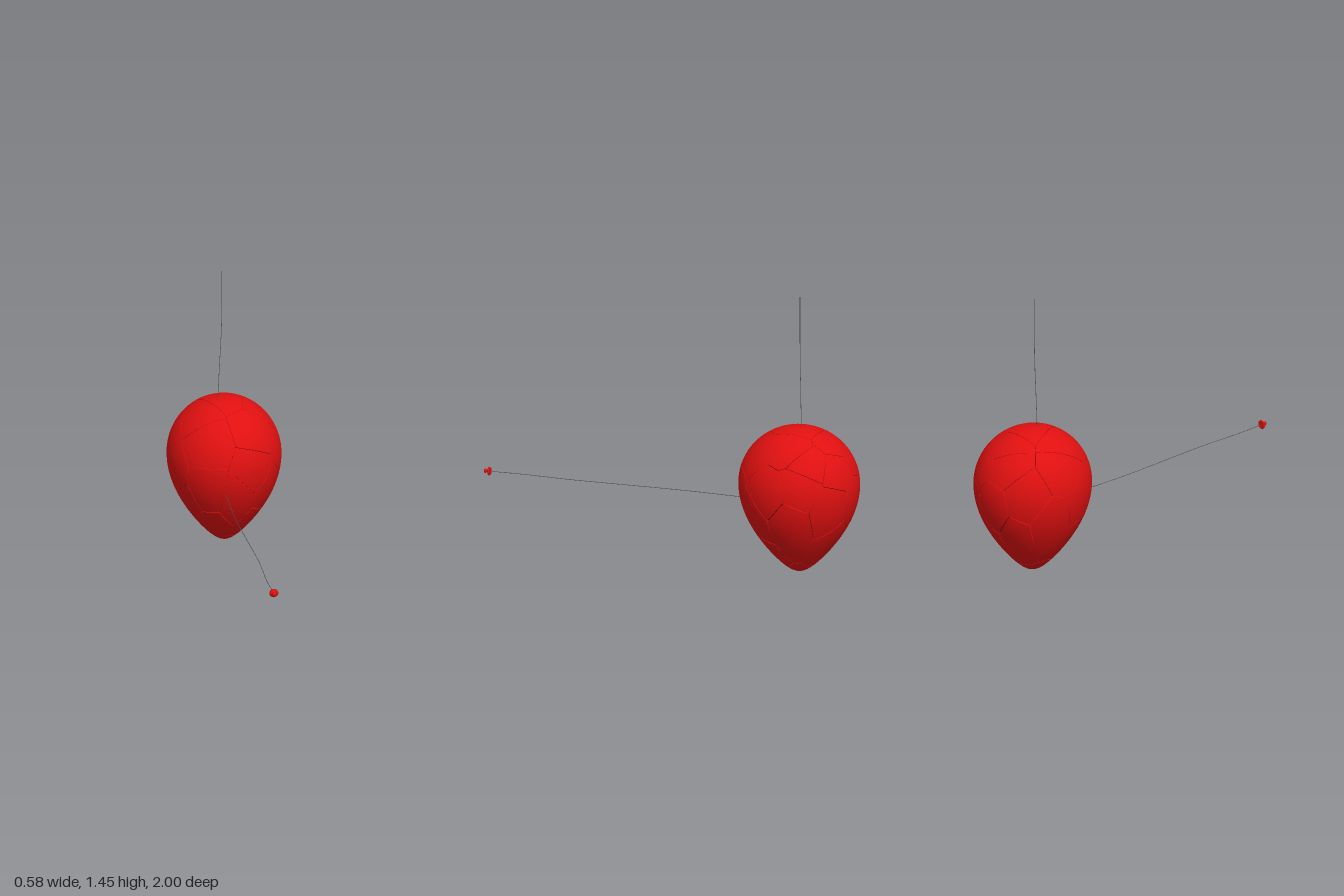
import * as THREE from 'three';

const CENTER = new THREE.Vector3(0, 0.465, -0.69);

// Maps a unit direction to the egg-shaped balloon surface
function eggPoint(d) {
  const taper = d.y < 0 ? 1 - 0.42 * d.y * d.y : 1;
  return new THREE.Vector3(0.29 * d.x * taper, d.y * (d.y > 0 ? 0.3 : 0.465), 0.31 * d.z * taper);
}

// Two directions at right angles to d, with a x b = d
function tangents(d) {
  const a = new THREE.Vector3(Math.abs(d.y) > 0.9 ? 1 : 0, Math.abs(d.y) > 0.9 ? 0 : 1, 0).cross(d).normalize();
  return [a, d.clone().cross(a)];
}

function eggNormal(d) {
  const [a, b] = tangents(d);
  const slope = (t) => eggPoint(d.clone().addScaledVector(t, 0.01).normalize())
    .sub(eggPoint(d.clone().addScaledVector(t, -0.01).normalize()));
  return slope(a).cross(slope(b)).normalize();
}

// Middle of each shard, as a direction from the balloon centre
const SEEDS = [
  [-0.45, 0.4, 0.8], [0.4, 0.05, 0.9], [0.5, 0.55, 0.65], [0.1, -0.4, 0.9],
  [-0.45, -0.25, 0.85], [-0.3, -0.75, 0.6], [0.72, -0.35, 0.6], [0.45, -0.72, 0.5],
  [-0.75, -0.5, 0.4], [0, -1, 0.05], [-0.95, -0.1, 0.3], [0, 1, -0.1],
  [-0.55, 0.8, 0.15], [0.6, 0.78, -0.05], [0.95, 0.1, 0.3], [0.95, 0.25, -0.3],
  [0.9, -0.4, -0.1], [0.75, 0.6, -0.4], [0.4, 0.4, -0.85], [-0.2, 0.5, -0.85],
  [0.6, -0.15, -0.8], [0, -0.1, -1], [-0.6, 0.1, -0.8], [0.3, -0.6, -0.7],
  [-0.35, -0.55, -0.75], [-0.8, -0.4, -0.35], [-0.85, 0.45, -0.1], [0.05, 0.85, -0.6],
].map((s) => new THREE.Vector3(...s).normalize());

// Outline of one shard: a square on the tangent plane, cut halfway to every other seed
function shardOutline(seed) {
  const [a, b] = tangents(seed);
  let poly = [[-1, -1], [1, -1], [1, 1], [-1, 1]].map(([u, v]) =>
    seed.clone().addScaledVector(a, 3 * u).addScaledVector(b, 3 * v));
  for (const other of SEEDS) {
    if (other === seed) continue;
    const n = seed.clone().sub(other).normalize();
    const side = (p) => n.dot(p) - 0.004;
    const cut = [];
    poly.forEach((p, i) => {
      const q = poly[(i + 1) % poly.length];
      const sp = side(p), sq = side(q);
      if (sp >= 0) cut.push(p);
      if (sp * sq < 0) cut.push(p.clone().lerp(q, sp / (sp - sq)));
    });
    poly = cut;
  }
  return poly;
}

// Curved skin in rings from the middle outward, then a short wall facing the crack
function shardGeometry(seed) {
  const poly = shardOutline(seed), steps = 8, rings = 8;
  const rim = [];
  poly.forEach((p, i) => {
    for (let k = 0; k < steps; k++) rim.push(p.clone().lerp(poly[(i + 1) % poly.length], k / steps));
  });
  const position = [], normal = [], index = [], n = rim.length;
  const add = (p, nor) => { position.push(p.x, p.y, p.z); normal.push(nor.x, nor.y, nor.z); };
  const stitch = (inner, outer) => {
    for (let i = 0; i < n; i++) {
      const j = (i + 1) % n;
      index.push(inner + i, outer + i, outer + j, inner + i, outer + j, inner + j);
    }
  };
  for (let r = 0; r <= rings; r++) {
    for (const p of rim) {
      const d = seed.clone().lerp(p, r / rings).normalize();
      add(eggPoint(d), eggNormal(d));
    }
    if (r > 0) stitch((r - 1) * n, r * n);
  }
  const middle = eggPoint(seed);
  for (const depth of [1, 0.95]) {
    for (const p of rim) {
      const q = eggPoint(p.clone().normalize());
      add(q.clone().multiplyScalar(depth), q.clone().sub(middle).normalize());
    }
  }
  stitch((rings + 1) * n, (rings + 2) * n);
  const g = new THREE.BufferGeometry();
  g.setAttribute('position', new THREE.Float32BufferAttribute(position, 3));
  g.setAttribute('normal', new THREE.Float32BufferAttribute(normal, 3));
  g.setIndex(index);
  return g;
}

export function createModel() {
  const model = new THREE.Group();
  const red = new THREE.MeshStandardMaterial({ color: 0xe01010 });
  const darkRed = new THREE.MeshStandardMaterial({ color: 0x300303 });
  const stringGrey = new THREE.MeshStandardMaterial({ color: 0x555555 });
  const add = (parent, name, geometry, material) => {
    const mesh = new THREE.Mesh(geometry, material);
    mesh.name = name;
    parent.add(mesh);
    return mesh;
  };

  // Balloon skin broken into closely fitting shards
  const balloon = new THREE.Group();
  balloon.name = 'balloon';
  balloon.position.copy(CENTER);
  model.add(balloon);
  SEEDS.forEach((seed, i) => add(balloon, `shard${i + 1}`, shardGeometry(seed), red));

  // Dark lining seen through the cracks
  const lining = new THREE.SphereGeometry(1, 64, 48);
  const pos = lining.attributes.position;
  for (let i = 0; i < pos.count; i++) {
    const p = eggPoint(new THREE.Vector3().fromBufferAttribute(pos, i).normalize()).multiplyScalar(0.965);
    pos.setXYZ(i, p.x, p.y, p.z);
  }
  lining.computeVertexNormals();
  add(balloon, 'lining', lining, darkRed);

  // Two thin strings
  const string = (name, points) => {
    const curve = new THREE.CatmullRomCurve3(points.map((p) => new THREE.Vector3(...p)));
    add(model, name, new THREE.TubeGeometry(curve, 48, 0.0015, 6), stringGrey);
  };
  string('frontString', [[-0.035, 0.345, -0.42], [-0.038, 0.345, -0.05], [-0.025, 0.345, 0.25],
    [-0.012, 0.345, 0.55], [-0.014, 0.345, 0.8], [-0.005, 0.345, 0.975]]);
  string('topString', [[-0.033, 0.72, -0.69], [-0.025, 0.9, -0.69], [-0.013, 1.15, -0.69], [-0.011, 1.45, -0.69]]);

  // Tied neck: flared lip with a short stub
  const profile = [[0, 0], [0.018, -0.004], [0.023, 0.002], [0.02, 0.007], [0.009, 0.01],
    [0.007, 0.016], [0.011, 0.022], [0.009, 0.029], [0, 0.031]];
  const knot = add(model, 'knot', new THREE.LatheGeometry(profile.map((p) => new THREE.Vector2(...p)), 20), red);
  knot.rotation.x = Math.PI / 2;
  knot.position.set(-0.005, 0.345, 0.969);

  return model;
}
